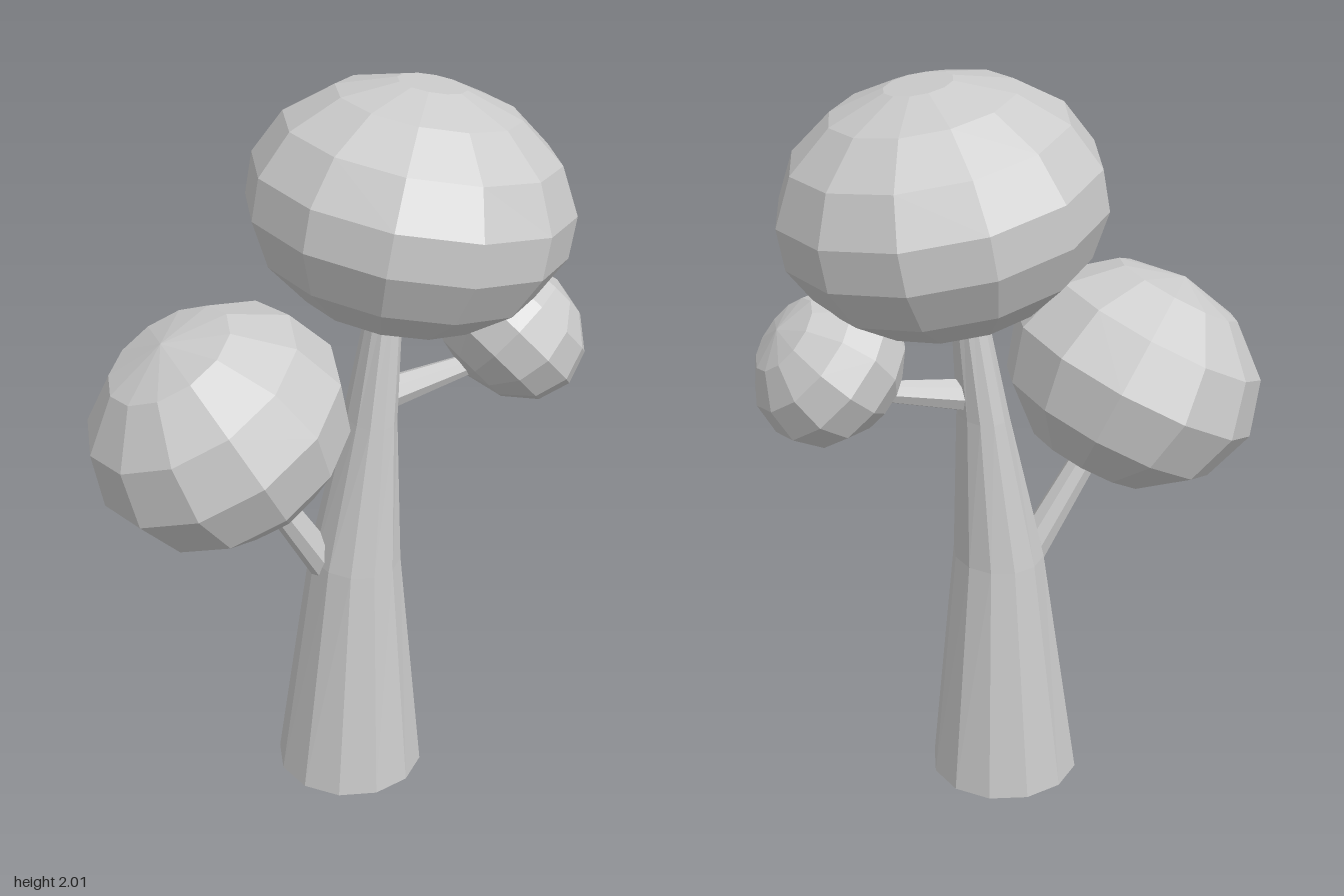
import * as THREE from 'three';

const material = new THREE.MeshStandardMaterial({ color: 0xcccccc, flatShading: true });

function addMesh(parent, name, geometry) {
  const mesh = new THREE.Mesh(geometry, material);
  mesh.name = name;
  parent.add(mesh);
  return mesh;
}

// Trunk: a cylinder whose rings are moved and tapered, leaning to +x
function trunkGeometry() {
  const rings = [ // y, centre x, half width x, half width z
    [0, 0.025, 0.205, 0.205],
    [0.68, 0.04, 0.122, 0.14],
    [1.1, 0.082, 0.067, 0.095],
    [1.45, 0.125, 0.042, 0.05],
  ];
  const geometry = new THREE.CylinderGeometry(1, 1, 3, 12, 3);
  const p = geometry.attributes.position;
  for (let i = 0; i < p.count; i++) {
    const [y, cx, rx, rz] = rings[Math.round(p.getY(i) + 1.5)];
    p.setXYZ(i, cx + p.getX(i) * rx, y, p.getZ(i) * rz);
  }
  geometry.computeVertexNormals();
  return geometry;
}

// Tapered branch between two points in the x-y plane
function addBranch(parent, name, from, to, r0, r1) {
  const a = new THREE.Vector3(...from, 0);
  const b = new THREE.Vector3(...to, 0);
  const dir = b.clone().sub(a);
  const mesh = addMesh(parent, name, new THREE.CylinderGeometry(r1, r0, dir.length(), 8));
  mesh.position.copy(a).add(b).multiplyScalar(0.5);
  mesh.quaternion.setFromUnitVectors(new THREE.Vector3(0, 1, 0), dir.normalize());
}

// Flattened, tilted foliage ball
function addFoliage(parent, name, geometry, x, y, radius, halfHeight, tilt) {
  const mesh = addMesh(parent, name, geometry);
  mesh.position.set(x, y, 0);
  mesh.scale.set(radius, halfHeight, radius);
  mesh.rotation.z = THREE.MathUtils.degToRad(tilt);
}

export function createModel() {
  const tree = new THREE.Group();
  tree.name = 'tree';

  addMesh(tree, 'trunk', trunkGeometry());
  addBranch(tree, 'rightBranch', [-0.02, 0.617], [-0.26, 1.01], 0.048, 0.034);
  addBranch(tree, 'leftBranch', [0.08, 1.147], [0.45, 1.215], 0.048, 0.022);

  // Crown: rings from bottom to top with small flat caps
  const profile = [180, 168, 146, 123, 100, 80, 57, 34, 12, 0].map((deg) => {
    const a = THREE.MathUtils.degToRad(deg);
    const capped = THREE.MathUtils.degToRad(Math.min(Math.max(deg, 12), 168));
    const r = deg % 180 === 0 ? 0 : Math.sin(a);
    return new THREE.Vector2(r, Math.cos(capped) / Math.cos(Math.PI / 15));
  });
  addFoliage(tree, 'crownFoliage', new THREE.LatheGeometry(profile, 12), 0.185, 1.68, 0.425, 0.315, -10);

  // Side foliage on the two branches
  const ball = new THREE.SphereGeometry(1, 12, 6);
  addFoliage(tree, 'rightFoliage', ball, -0.34, 1.152, 0.355, 0.295, 29);
  addFoliage(tree, 'leftFoliage', ball, 0.488, 1.285, 0.217, 0.175, -48);

  return tree;
}
